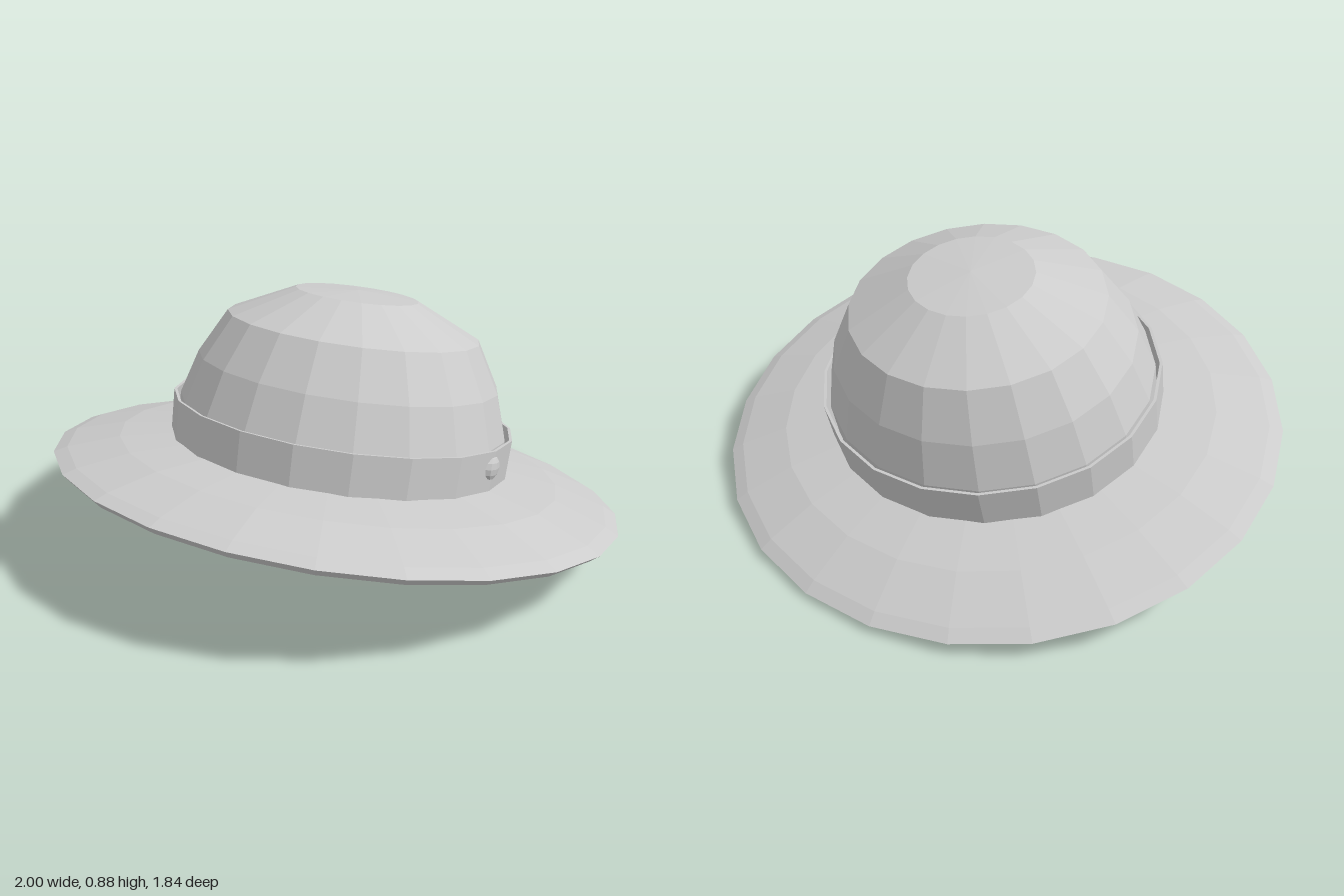
import * as THREE from 'three';

export function createModel() {
  // Double-sided because the crown is an open shell seen from below
  const felt = new THREE.MeshStandardMaterial({
    color: 0xcccccc, flatShading: true, side: THREE.DoubleSide,
  });
  felt.name = 'grey felt';

  // Slightly oval hat, tilted so that the front of the brim is raised
  const hat = new THREE.Group();
  hat.name = 'hat';
  hat.position.set(0, 0.192, 0.007);
  hat.rotation.x = -0.21;

  // Profiles run from the underside outwards and up
  const turn = (name, profile, sides) => {
    const points = profile.map(([r, y]) => new THREE.Vector2(r, y));
    const mesh = new THREE.Mesh(new THREE.LatheGeometry(points, sides), felt);
    mesh.name = name;
    mesh.scale.z = 0.94;
    hat.add(mesh);
  };

  // Brim of even thickness, with a bevelled rim and an opening for the head
  turn('brim', [
    [0.575, 0.081], [0.77, 0.05], [0.973, 0], [1, 0.024], [0.955, 0.045],
    [0.778, 0.096], [0.575, 0.126],
  ], 24);

  // Hollow domed crown, open underneath
  turn('crown', [
    [0.576, 0.081], [0.578, 0.25], [0.529, 0.402],
    [0.442, 0.555], [0.215, 0.661], [0, 0.675],
  ], 20);

  // Thin band standing just clear of the crown, with a narrow rim
  turn('hatBand', [[0.598, 0.1], [0.602, 0.258], [0.592, 0.258], [0.588, 0.1]], 20);

  // Flattened button on the left side of the band
  const button = new THREE.Mesh(new THREE.SphereGeometry(0.041, 8, 6), felt);
  button.name = 'bandButton';
  button.position.set(0.594, 0.2, 0);
  button.scale.x = 0.5;
  hat.add(button);

  const model = new THREE.Group();
  model.name = 'tiltedHat';
  model.add(hat);
  return model;
}
